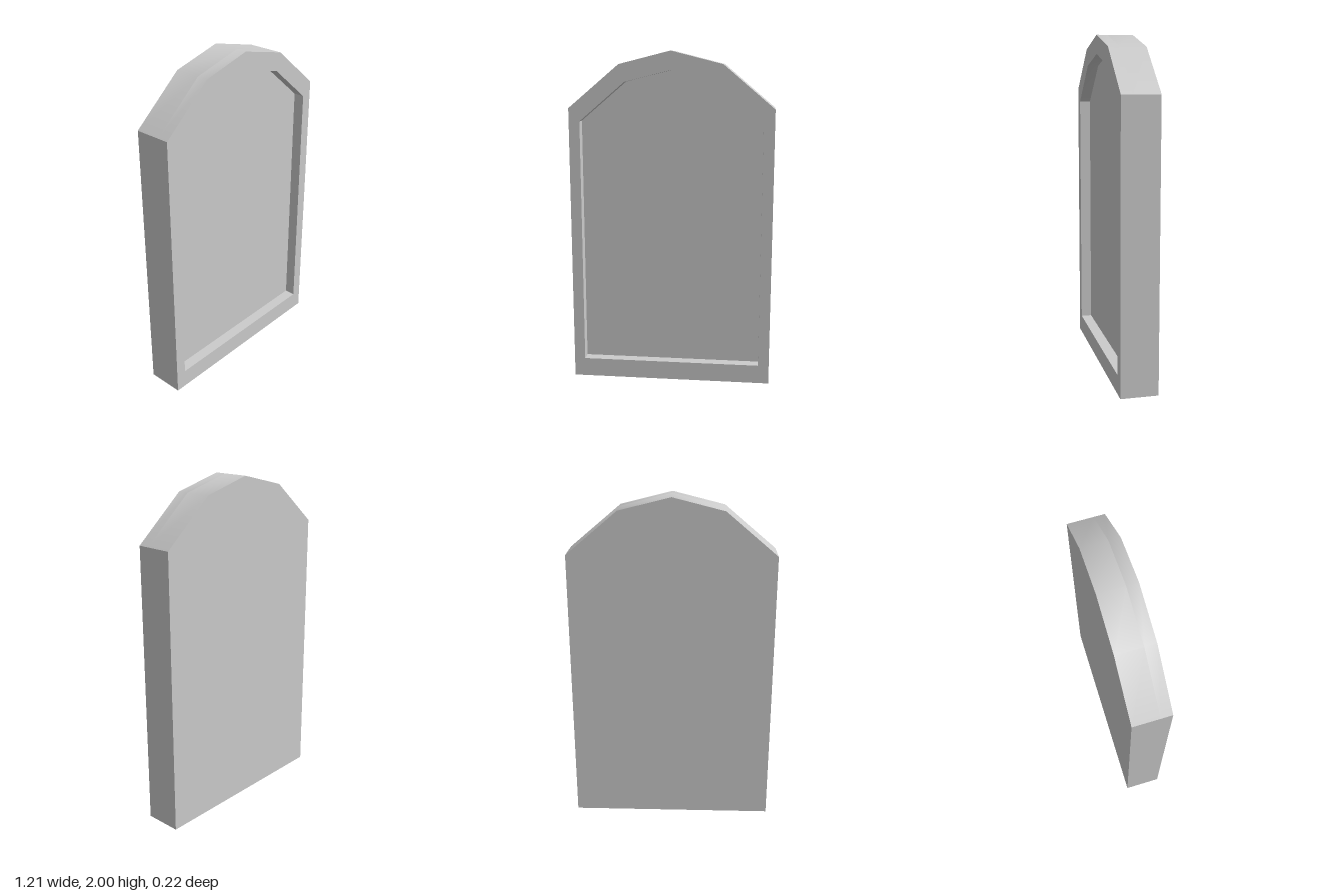
import * as THREE from 'three';
import { toCreasedNormals } from 'three/addons/utils/BufferGeometryUtils.js';

const DEPTH = 0.22;
const RECESS = 0.066;

// Symmetric arched outline: straight sides, four-segment pointed top
function archPoints(halfWidth, bottom, eave, shoulderX, shoulderY, apex) {
  return [
    [-halfWidth, bottom], [halfWidth, bottom], [halfWidth, eave],
    [shoulderX, shoulderY], [0, apex], [-shoulderX, shoulderY], [-halfWidth, eave],
  ].map(([x, y]) => new THREE.Vector2(x, y));
}

export function createModel() {
  const group = new THREE.Group();
  group.name = 'archedPanel';
  const material = new THREE.MeshStandardMaterial({ color: 0xcccccc });
  const outer = archPoints(0.605, 0, 1.67, 0.303, 1.924, 2);
  const inner = archPoints(0.54, 0.113, 1.593, 0.27, 1.823, 1.89);

  function addPart(name, shape, depth, z) {
    const flat = new THREE.ExtrudeGeometry(shape, { depth, bevelEnabled: false });
    // Smooth over the arch, sharp at the eaves and rims
    const mesh = new THREE.Mesh(toCreasedNormals(flat, Math.PI / 5), material);
    mesh.name = name;
    mesh.position.z = z;
    group.add(mesh);
  }

  // Solid back slab, whose front is the recessed panel
  addPart('backSlab', new THREE.Shape(outer), DEPTH - RECESS, -DEPTH / 2);

  // Raised border around the recess
  const border = new THREE.Shape(outer);
  border.holes.push(new THREE.Path(inner));
  addPart('raisedBorder', border, RECESS, DEPTH / 2 - RECESS);

  return group;
}
